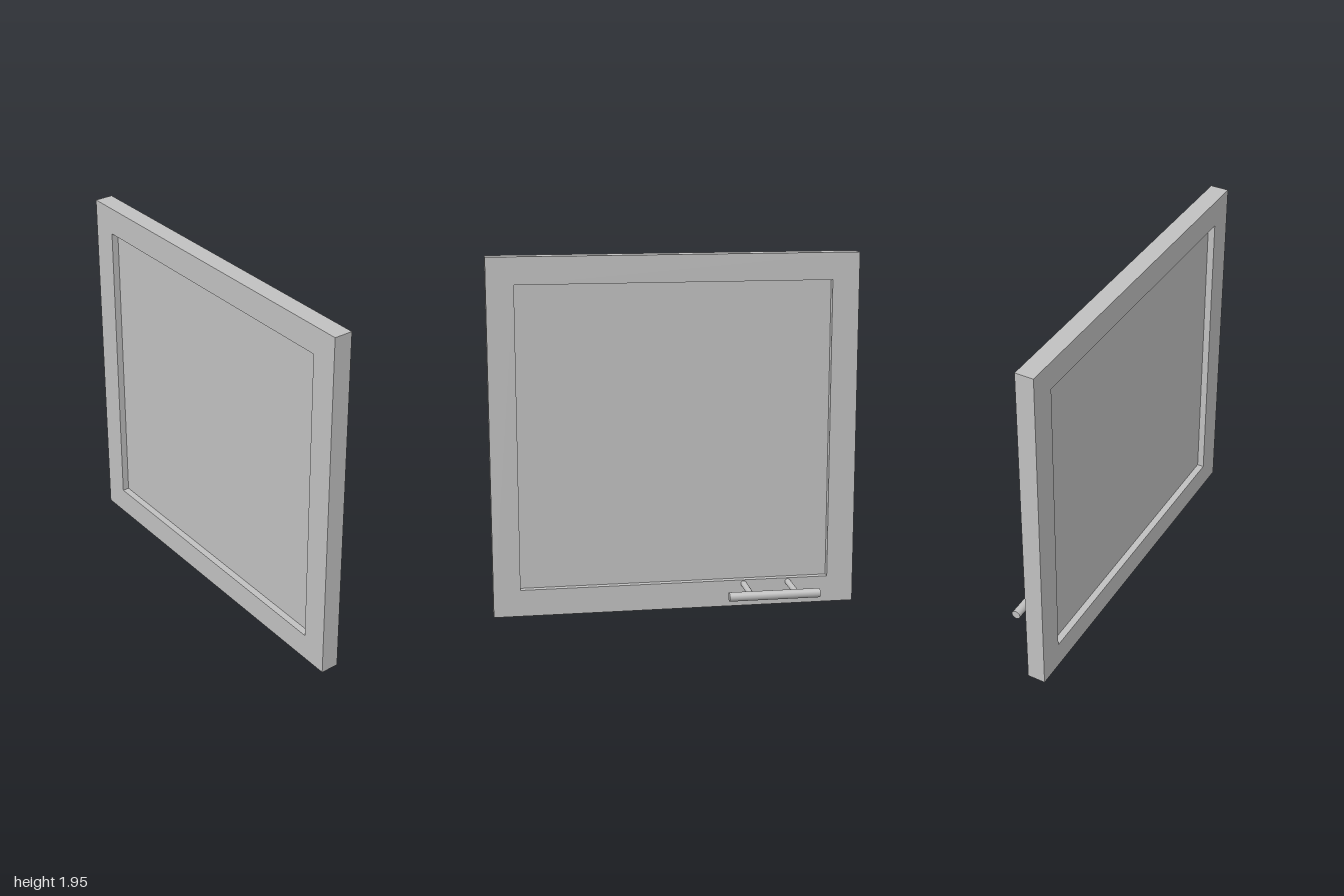
import * as THREE from 'three';

export function createModel() {
  const grey = new THREE.MeshStandardMaterial({ color: 0xc0c0c0 });
  grey.name = 'plain grey';
  const group = new THREE.Group();
  group.name = 'cabinetDoor';

  const add = (name, geometry, x, y, z) => {
    const mesh = new THREE.Mesh(geometry, grey);
    mesh.name = name;
    mesh.position.set(x, y, z);
    group.add(mesh);
    return mesh;
  };

  const height = 1.95, width = 2, depth = 0.1, border = 0.147;
  const doorX = -0.125, midY = height / 2;

  // Frame: a square outline with an opening, extruded along x
  const rectangle = (target, w, h) => target
    .moveTo(-w / 2, -h / 2).lineTo(w / 2, -h / 2)
    .lineTo(w / 2, h / 2).lineTo(-w / 2, h / 2).closePath();
  const outline = rectangle(new THREE.Shape(), width, height);
  outline.holes.push(rectangle(new THREE.Path(), width - 2 * border, height - 2 * border));
  const frame = new THREE.ExtrudeGeometry(outline, { depth, bevelEnabled: false });
  frame.translate(0, 0, -depth / 2).rotateY(Math.PI / 2);
  add('frame', frame, doorX, midY, 0);

  // Thin panel recessed on both faces
  add('panel', new THREE.BoxGeometry(0.025, height - 2 * border, width - 2 * border), doorX, midY, 0);

  // Pull handle: a bar on two posts
  const barX = 0.149, handleY = 0.125, handleZ = -0.505;
  const bar = new THREE.CylinderGeometry(0.025, 0.025, 0.5, 32).rotateX(Math.PI / 2);
  add('handleBar', bar, barX, handleY, handleZ);
  const postStart = doorX + depth / 2, postLength = barX - postStart;
  for (const side of [-1, 1]) {
    const post = new THREE.CylinderGeometry(0.0165, 0.0165, postLength, 24).rotateZ(Math.PI / 2);
    add('handlePost', post, postStart + postLength / 2, handleY, handleZ + side * 0.125);
  }

  return group;
}
